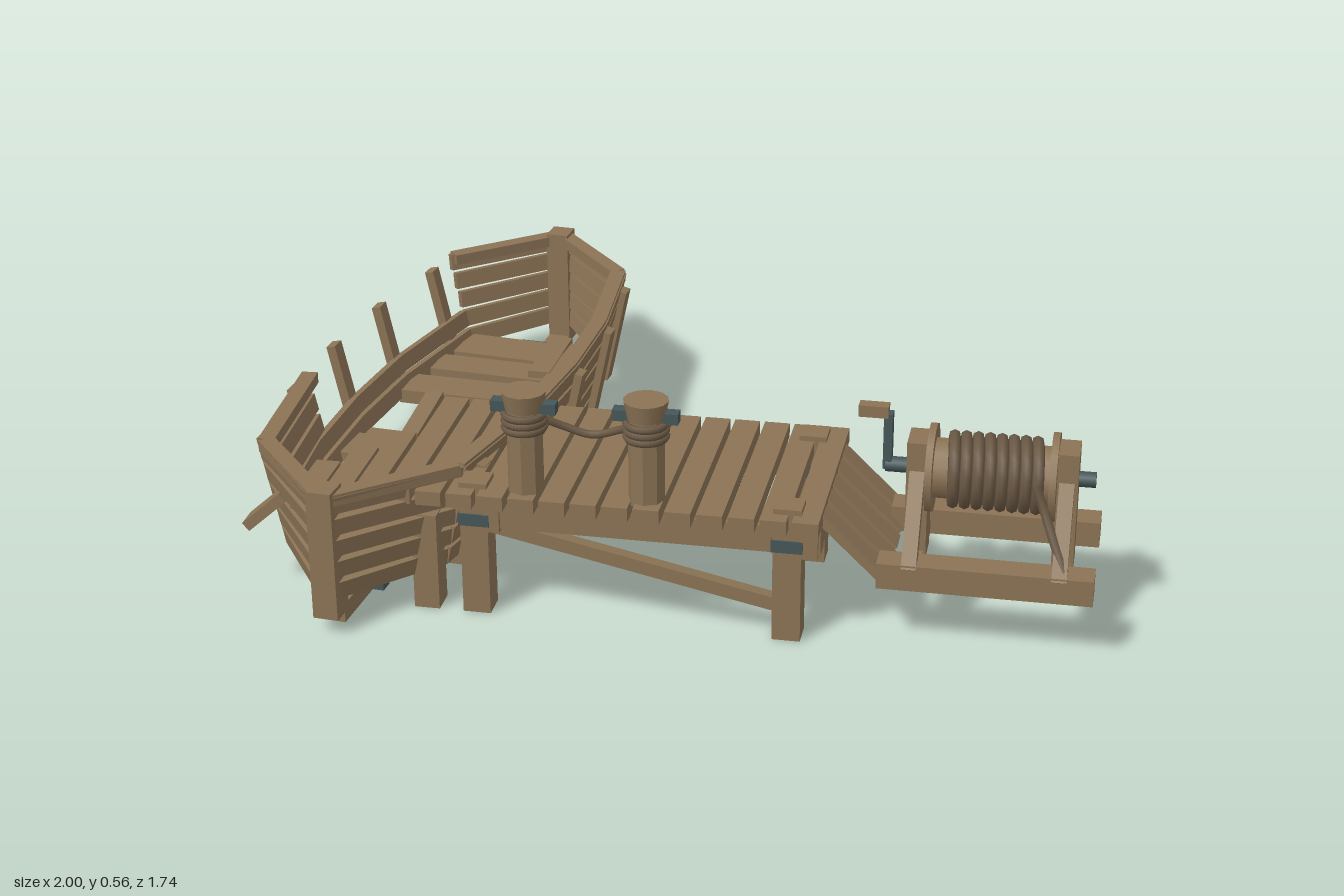
import * as THREE from 'three';

const make = (name, color) => {
  const m = new THREE.MeshStandardMaterial({ color });
  m.name = name;
  return m;
};

export function createModel() {
  const wood = make('weathered wood', 0x8b7355);
  const rope = make('rope', 0x6a5844);
  const metal = make('iron', 0x465658);
  const root = new THREE.Group();
  root.name = 'dockScene';
  const V = (x, y, z) => new THREE.Vector3(x, y, z);

  const group = (name) => {
    const g = new THREE.Group();
    g.name = name;
    root.add(g);
    return g;
  };
  const add = (parent, name, geo, mat, x = 0, y = 0, z = 0) => {
    const m = new THREE.Mesh(geo, mat);
    m.name = name;
    m.position.set(x, y, z);
    parent.add(m);
    return m;
  };
  const box = (parent, name, mat, size, pos) =>
    add(parent, name, new THREE.BoxGeometry(...size), mat, ...pos);
  // Rectangular timber running from a to b
  const beam = (parent, name, a, b, w, h, up = V(0, 1, 0), mat = wood) => {
    const dir = b.clone().sub(a);
    const len = dir.length();
    dir.normalize();
    const x = up.clone().cross(dir).normalize();
    const y = dir.clone().cross(x);
    const m = add(parent, name, new THREE.BoxGeometry(w, h, len), mat);
    m.quaternion.setFromRotationMatrix(new THREE.Matrix4().makeBasis(x, y, dir));
    m.position.copy(a).add(b).multiplyScalar(0.5);
    return m;
  };
  const cylX = (parent, name, mat, r, len, x, y, z, sides) => {
    const g = new THREE.CylinderGeometry(r, r, len, sides).rotateZ(Math.PI / 2);
    return add(parent, name, g, mat, x, y, z);
  };
  const cord = (parent, name, pts, r) =>
    add(parent, name, new THREE.TubeGeometry(new THREE.CatmullRomCurve3(pts), 16, r, 6), rope);

  // ---------- Dock ----------
  const dock = group('dock');
  for (let i = 0; i < 14; i++) {
    box(dock, 'deckPlank', wood, [0.06, 0.035, 0.515], [0.36 - i * 0.0722, 0.302, 0.48]);
  }
  // Broken planks, shortening towards the end
  [0.34, 0.27, 0.2].forEach((len, i) =>
    box(dock, 'brokenPlank', wood, [0.058, 0.03, len], [-0.662 - i * 0.073, 0.285 - i * 0.012, 0.735 - len / 2]));
  for (const z of [0.28, 0.67]) {
    box(dock, 'sideBeam', wood, [0.84, 0.065, 0.05], [-0.03, 0.252, z]);
    beam(dock, 'brace', V(-0.39, 0.222, z), V(0.31, 0.075, z), 0.03, 0.033);
    for (const x of [-0.41, 0.315]) {
      box(dock, 'post', wood, [0.065, 0.332, 0.065], [x, 0.166, z]);
      box(dock, 'postBand', metal, [0.073, 0.03, 0.073], [x, 0.24, z]);
    }
  }
  box(dock, 'stubPost', wood, [0.06, 0.24, 0.065], [-0.53, 0.12, 0.67]);
  for (const x of [-0.37, 0.365]) box(dock, 'crossBeam', wood, [0.04, 0.065, 0.46], [x, 0.245, 0.475]);

  // Ramp boards
  for (let i = 0; i < 5; i++) {
    const z = 0.31 + i * 0.081;
    beam(dock, 'rampBoard', V(0.38, 0.3, z), V(0.535, 0.15, z), 0.062, 0.022);
  }

  // Bollards with cross pins and rope turns
  for (const x of [-0.29, -0.01]) {
    const b = new THREE.Group();
    b.name = 'bollard';
    b.position.set(x, 0, 0.675);
    dock.add(b);
    const shaft = new THREE.CylinderGeometry(0.042, 0.042, 0.22, 8).toNonIndexed();
    shaft.computeVertexNormals();
    add(b, 'bollardShaft', shaft, wood, 0, 0.42, 0);
    add(b, 'bollardCap', new THREE.CylinderGeometry(0.052, 0.043, 0.045, 12), wood, 0, 0.541, 0);
    box(b, 'bollardPin', metal, [0.15, 0.026, 0.03], [0, 0.525, 0]);
    for (const y of [0.475, 0.491, 0.507]) {
      add(b, 'ropeTurn', new THREE.TorusGeometry(0.045, 0.009, 6, 20).rotateX(Math.PI / 2), rope, 0, y, 0);
    }
  }
  cord(dock, 'hangingRope', [V(-0.255, 0.48, 0.64), V(-0.21, 0.455, 0.62), V(-0.15, 0.437, 0.614),
    V(-0.09, 0.455, 0.62), V(-0.045, 0.48, 0.64)], 0.009);

  // ---------- Winch ----------
  const winch = group('winch');
  const cy = 0.375, cz = 0.512;
  for (const z of [0.36, 0.65]) box(winch, 'skid', wood, [0.485, 0.062, 0.068], [0.757, 0.176, z]);
  for (const x of [0.587, 0.922]) {
    box(winch, 'upright', wood, [0.05, 0.29, 0.085], [x, 0.305, cz]);
    box(winch, 'crossTie', wood, [0.04, 0.035, 0.29], [x, 0.165, 0.505]);
    for (const s of [-1, 1]) {
      beam(winch, 'strut', V(x, 0.19, 0.507 + s * 0.165), V(x, 0.375, cz + s * 0.035), 0.034, 0.035);
    }
  }
  for (const x of [0.616, 0.892]) cylX(winch, 'drumFlange', wood, 0.103, 0.016, x, cy, cz, 14);
  cylX(winch, 'drum', wood, 0.07, 0.27, 0.754, cy, cz, 14);
  for (let i = 0; i < 8; i++) {
    const t = add(winch, 'ropeCoil', new THREE.TorusGeometry(0.076, 0.014, 7, 24).rotateY(Math.PI / 2), rope,
      0.665 + i * 0.0268, cy, cz);
    t.rotation.y = 0.09;
  }
  cord(winch, 'ropeEnd', [V(0.855, 0.39, 0.597), V(0.875, 0.34, 0.605), V(0.905, 0.27, 0.635), V(0.932, 0.214, 0.665)], 0.011);
  cylX(winch, 'axle', metal, 0.018, 0.475, 0.748, cy, cz, 10);
  box(winch, 'crankArm', metal, [0.02, 0.135, 0.028], [0.515, 0.435, cz]);
  box(winch, 'crankHandle', wood, [0.068, 0.028, 0.03], [0.481, 0.507, cz]);

  // ---------- Boat ----------
  const boat = group('boat');
  boat.position.set(-0.645, 0, 0);
  boat.rotation.y = -0.087;
  const stations = [[-0.85, 0.02], [-0.62, 0.25], [-0.275, 0.305], [0, 0.317], [0.275, 0.305], [0.62, 0.25], [0.85, 0.02]];
  const halfWidth = (z) => {
    for (let i = 1; i < stations.length; i++) {
      const [z0, w0] = stations[i - 1], [z1, w1] = stations[i];
      if (z <= z1) return w0 + (w1 - w0) * (z - z0) / (z1 - z0);
    }
    return 0;
  };
  // Hull surface point, leaning outwards with height
  const hull = (s, z, y, out = 0) => {
    const w = halfWidth(z);
    return V(s * (w + out - 0.22 * (0.34 - y) * Math.min(1, w / 0.2)), y, z);
  };
  const lean = (s) => V(s * 0.22, 1, 0);

  beam(boat, 'keel', V(0, 0.034, -0.825), V(0, 0.034, 0.825), 0.055, 0.046);
  for (const s of [-1, 1]) {
    box(boat, 'stemPost', wood, [0.06, 0.32, 0.065], [0, 0.2, s * 0.84]);
    box(boat, 'keelStrap', metal, [0.16, 0.026, 0.036], [0, 0.058, s * 0.7]);
  }
  // Strakes: one side is complete, the other has lost its upper middle boards
  for (const s of [-1, 1]) {
    for (let row = 0; row < 5; row++) {
      const y = 0.108 + row * 0.054;
      for (let i = 1; i < stations.length; i++) {
        let z0 = stations[i - 1][0];
        const z1 = stations[i][0];
        if (s < 0 && row > 1 && i > 1 && i < 5) continue;
        if (s < 0 && row > 1 && i === 5) z0 = 0.235;
        beam(boat, 'hullPlank', hull(s, z0, y), hull(s, z1, y), 0.02, 0.044, lean(s));
      }
    }
    // Gunwale
    for (let i = 1; i < stations.length; i++) {
      if (s < 0 && i > 1 && i < 5) continue;
      const z0 = s < 0 && i === 5 ? 0.235 : stations[i - 1][0];
      beam(boat, 'gunwale', hull(s, z0, 0.337, -0.012), hull(s, stations[i][0], 0.337, -0.012), 0.04, 0.028);
    }
    // Ribs stand outside the strakes
    for (const z of [-0.55, -0.275, 0, 0.275, 0.55]) {
      beam(boat, 'rib', hull(s, z, 0.065, 0.018), hull(s, z, 0.325, 0.018), 0.024, 0.042, V(0, 0, 1));
    }
  }
  for (const z of [-0.55, -0.275, 0, 0.275, 0.55]) {
    const w = halfWidth(z) - 0.04;
    box(boat, 'floorTimber', wood, [w * 2, 0.032, 0.042], [0, 0.074, z]);
  }
  // Floor boards: position and width
  [[-0.555, 0.13], [-0.42, 0.1], [-0.275, 0.11], [0.13, 0.12], [0.27, 0.06], [0.35, 0.065], [0.43, 0.065], [0.51, 0.065]]
    .forEach(([z, d], i) => {
      const w = halfWidth(z) - 0.062;
      const m = box(boat, 'floorBoard', wood, [w * 2, 0.022, d], [0, 0.103, z]);
      m.rotation.y = (i % 3 - 1) * 0.025;
    });
  // Stringer and loose boards
  beam(boat, 'stringer', V(0.12, 0.122, -0.58), V(0.12, 0.122, 0.25), 0.015, 0.03);
  beam(boat, 'looseBoard', V(0.075, 0.13, -0.61), V(0.09, 0.13, -0.37), 0.06, 0.02);
  beam(boat, 'looseBoard', V(-0.14, 0.12, -0.2), V(-0.125, 0.1, 0.03), 0.045, 0.02);
  beam(root, 'brokenBoard', V(-0.965, 0.165, 0.665), V(-0.87, 0.25, 0.665), 0.06, 0.025);
  return root;
}
